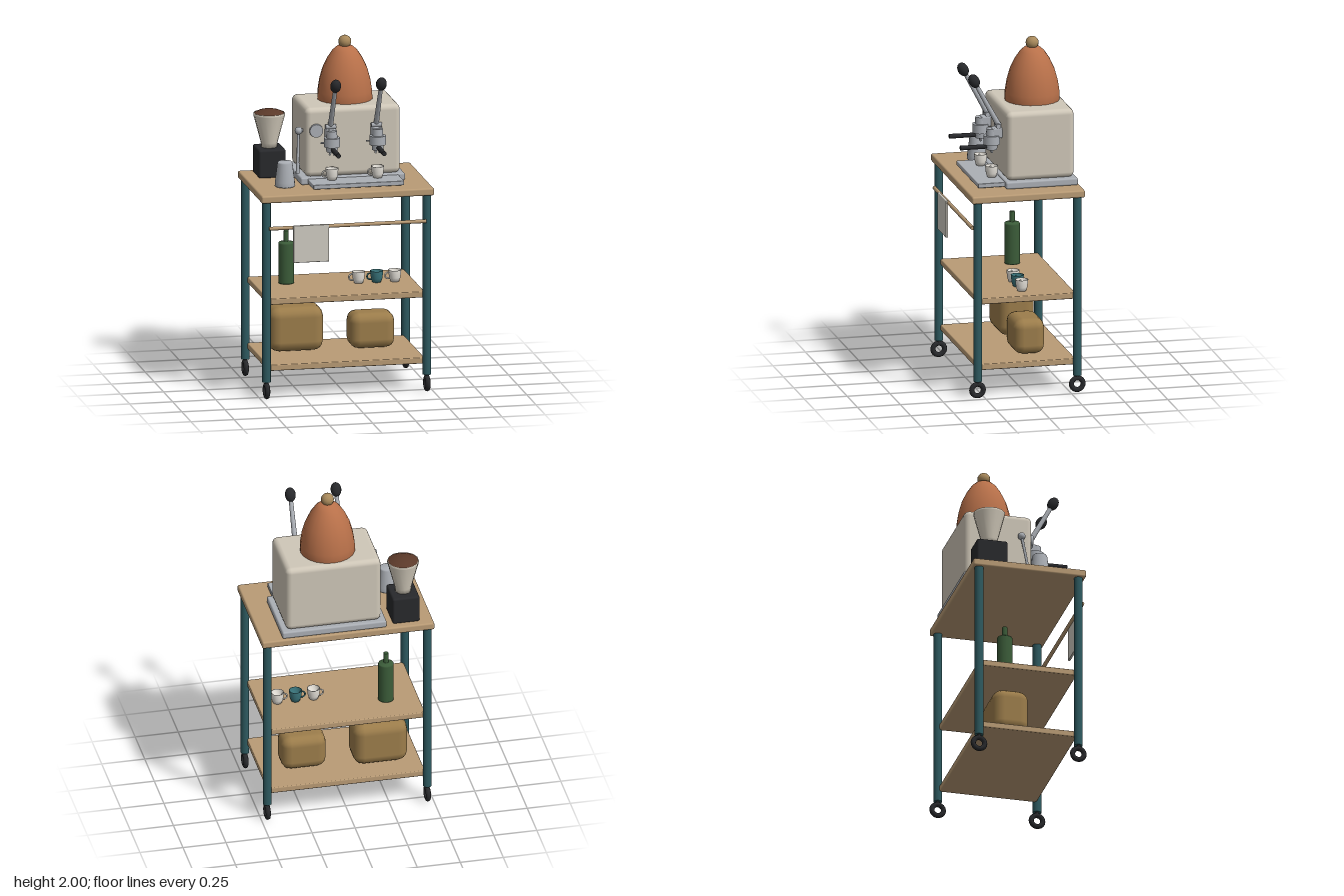
import * as THREE from 'three';
import { RoundedBoxGeometry } from 'three/addons/geometries/RoundedBoxGeometry.js';

const paint = (color, side = THREE.FrontSide) => new THREE.MeshStandardMaterial({ color, side });
const wood = paint(0xb99b75), teal = paint(0x2e5a60), copper = paint(0xb9714a), brass = paint(0xa98a5c);
const cream = paint(0xcfc7b8), steel = paint(0xabafb5), black = paint(0x28292c), green = paint(0x3b5c39);
const sack = paint(0x9c7d4b), linen = paint(0xd0ccc2), beanBrown = paint(0x5c3a2a);
const china = paint(0xe8e4dc, THREE.DoubleSide), tealChina = paint(0x3a757c, THREE.DoubleSide);
const hopperCream = paint(0xd8d0c0, THREE.DoubleSide);

export function createModel() {
  const model = new THREE.Group();

  const add = (name, geometry, material, x = 0, y = 0, z = 0, parent = model) => {
    const mesh = new THREE.Mesh(geometry, material);
    mesh.name = name;
    mesh.position.set(x, y, z);
    parent.add(mesh);
    return mesh;
  };
  // Rounded block given by its extents
  const block = (name, material, [x0, x1], [y0, y1], [z0, z1], radius = 0.006, segments = 2) =>
    add(name, new RoundedBoxGeometry(x1 - x0, y1 - y0, z1 - z0, segments, radius), material,
      (x0 + x1) / 2, (y0 + y1) / 2, (z0 + z1) / 2);
  // Round bar between two points
  const bar = (name, material, a, b, r0, r1 = r0, sides = 12, parent = model) => {
    const from = new THREE.Vector3(...a), to = new THREE.Vector3(...b);
    const dir = to.clone().sub(from);
    const mesh = add(name, new THREE.CylinderGeometry(r1, r0, dir.length(), sides), material, 0, 0, 0, parent);
    mesh.position.copy(from).add(to).multiplyScalar(0.5);
    mesh.quaternion.setFromUnitVectors(new THREE.Vector3(0, 1, 0), dir.normalize());
    return mesh;
  };
  const lathe = (points, sides = 16) =>
    new THREE.LatheGeometry(points.map(([r, y]) => new THREE.Vector2(r, y)), sides);

  // Cart
  block('tableTop', wood, [-0.5, 0.5], [1.147, 1.19], [-0.33, 0.33], 0.01);
  block('middleShelf', wood, [-0.455, 0.455], [0.545, 0.58], [-0.285, 0.285]);
  block('lowerShelf', wood, [-0.455, 0.455], [0.16, 0.195], [-0.285, 0.285]);
  for (const sx of [-1, 1]) {
    for (const sz of [-1, 1]) {
      const x = sx * 0.465, z = sz * 0.291;
      bar('leg', teal, [x, 0.1, z], [x, 1.15, z], 0.025);
      bar('casterStem', black, [x, 0.08, z], [x, 0.11, z], 0.012);
      add('casterWheel', new THREE.TorusGeometry(0.034, 0.015, 8, 18), black, x, 0.049, z).rotation.y = Math.PI / 2;
    }
  }
  bar('towelRail', wood, [-0.455, 0.998, 0.318], [0.455, 0.998, 0.318], 0.011);
  block('towel', linen, [-0.318, -0.11], [0.795, 1.012], [0.322, 0.336], 0.004);

  // Cup with a side handle
  const cup = (x, y, z, material) => {
    const group = new THREE.Group();
    group.name = 'cup';
    group.position.set(x, y, z);
    model.add(group);
    add('cupBowl', lathe([[0, 0.002], [0.025, 0.002], [0.033, 0.025], [0.038, 0.068], [0.034, 0.068],
      [0.029, 0.028], [0, 0.012]]), material, 0, 0, 0, group);
    add('cupHandle', new THREE.TorusGeometry(0.018, 0.005, 6, 14), material, -0.038, 0.037, 0, group);
  };
  cup(0.13, 0.58, 0.003, china);
  cup(0.235, 0.58, 0.003, tealChina);
  cup(0.34, 0.58, 0.003, china);

  // Bottle and sacks on the shelves
  add('bottle', lathe([[0, 0], [0.045, 0], [0.045, 0.004], [0.045, 0.23], [0.042, 0.238], [0.015, 0.242],
    [0.015, 0.247], [0.015, 0.302], [0.013, 0.305], [0, 0.305]]), green, -0.27, 0.58, -0.09);
  block('largeSack', sack, [-0.385, -0.07], [0.197, 0.457], [-0.18, 0.03], 0.06);
  block('smallSack', sack, [0.08, 0.34], [0.197, 0.405], [-0.14, 0.04], 0.055);

  // Coffee machine body
  block('machineBase', steel, [-0.225, 0.38], [1.19, 1.232], [-0.317, 0.102], 0.01);
  block('dripTray', steel, [-0.185, 0.342], [1.198, 1.224], [0.08, 0.256], 0.004);
  block('machineBody', cream, [-0.197, 0.356], [1.23, 1.632], [-0.303, 0.092], 0.032);
  add('boilerDome', lathe([[0, 0], [0.15, 0], [0.157, 0.003], [0.156, 0.05], [0.146, 0.115], [0.128, 0.18],
    [0.1, 0.24], [0.07, 0.285], [0.045, 0.307], [0, 0.315]], 20), copper, 0.077, 1.629, -0.122);
  add('domeKnob', new THREE.SphereGeometry(0.037, 14, 10), brass, 0.077, 1.963, -0.122);

  // Two brew groups with levers, filter handles and cups
  for (const x of [-0.055, 0.21]) {
    const group = new THREE.Group();
    group.name = 'brewGroup';
    group.position.x = x;
    model.add(group);
    add('groupBracket', new RoundedBoxGeometry(0.06, 0.06, 0.07, 2, 0.008), steel, 0, 1.485, 0.112, group);
    bar('groupNeck', steel, [0, 1.45, 0.147], [0, 1.51, 0.147], 0.032, 0.03, 16, group);
    bar('groupHead', steel, [0, 1.418, 0.147], [0, 1.47, 0.147], 0.047, 0.047, 16, group);
    bar('filterBasket', steel, [0, 1.388, 0.147], [0, 1.42, 0.147], 0.032, 0.035, 16, group);
    for (const s of [-1, 1])
      bar('spout', steel, [s * 0.013, 1.368, 0.147], [s * 0.006, 1.395, 0.147], 0.006, 0.008, 8, group);
    bar('filterHandle', black, [0, 1.405, 0.17], [0, 1.405, 0.33], 0.013, 0.014, 12, group);
    bar('sidePin', steel, [-0.065, 1.44, 0.142], [-0.03, 1.44, 0.142], 0.005, 0.005, 8, group);
    bar('leverPivot', steel, [-0.03, 1.525, 0.112], [0.03, 1.525, 0.112], 0.014, 0.014, 12, group);
    bar('lever', steel, [0, 1.525, 0.105], [0, 1.775, 0.24], 0.016, 0.012, 12, group);
    const knob = add('leverKnob', new THREE.SphereGeometry(0.031, 14, 10), black, 0, 1.793, 0.249, group);
    knob.scale.y = 1.35;
    knob.rotation.x = 0.48;
    cup(x, 1.224, 0.147, china);
  }

  // Pressure gauge and steam wand
  bar('pressureGauge', steel, [-0.135, 1.502, 0.085], [-0.135, 1.502, 0.106], 0.04, 0.038, 18);
  bar('steamValve', steel, [-0.225, 1.49, 0.022], [-0.18, 1.49, 0.022], 0.01);
  add('steamKnob', new THREE.SphereGeometry(0.022, 14, 10), steel, -0.222, 1.49, 0.022);
  bar('steamWand', steel, [-0.222, 1.49, 0.022], [-0.235, 1.27, 0.06], 0.008);
  bar('steamTip', steel, [-0.232, 1.31, 0.053], [-0.236, 1.25, 0.063], 0.011);

  // Grinder
  block('grinderBase', black, [-0.423, -0.266], [1.188, 1.352], [-0.29, -0.11], 0.012);
  add('grinderHopper', lathe([[0, 0], [0.045, 0], [0.048, 0.03], [0.09, 0.188], [0.09, 0.2], [0.083, 0.2],
    [0.08, 0.18]], 14), hopperCream, -0.345, 1.35, -0.2);
  add('coffeeBeans', lathe([[0.086, 0], [0.06, 0.012], [0.03, 0.02], [0, 0.022]], 14), beanBrown, -0.345, 1.55, -0.2);

  // Milk pitcher
  add('milkPitcher', lathe([[0, 0], [0.055, 0], [0.058, 0.006], [0.056, 0.03], [0.043, 0.135], [0.039, 0.144],
    [0, 0.146]], 18), steel, -0.318, 1.19, 0.103);

  return model;
}
